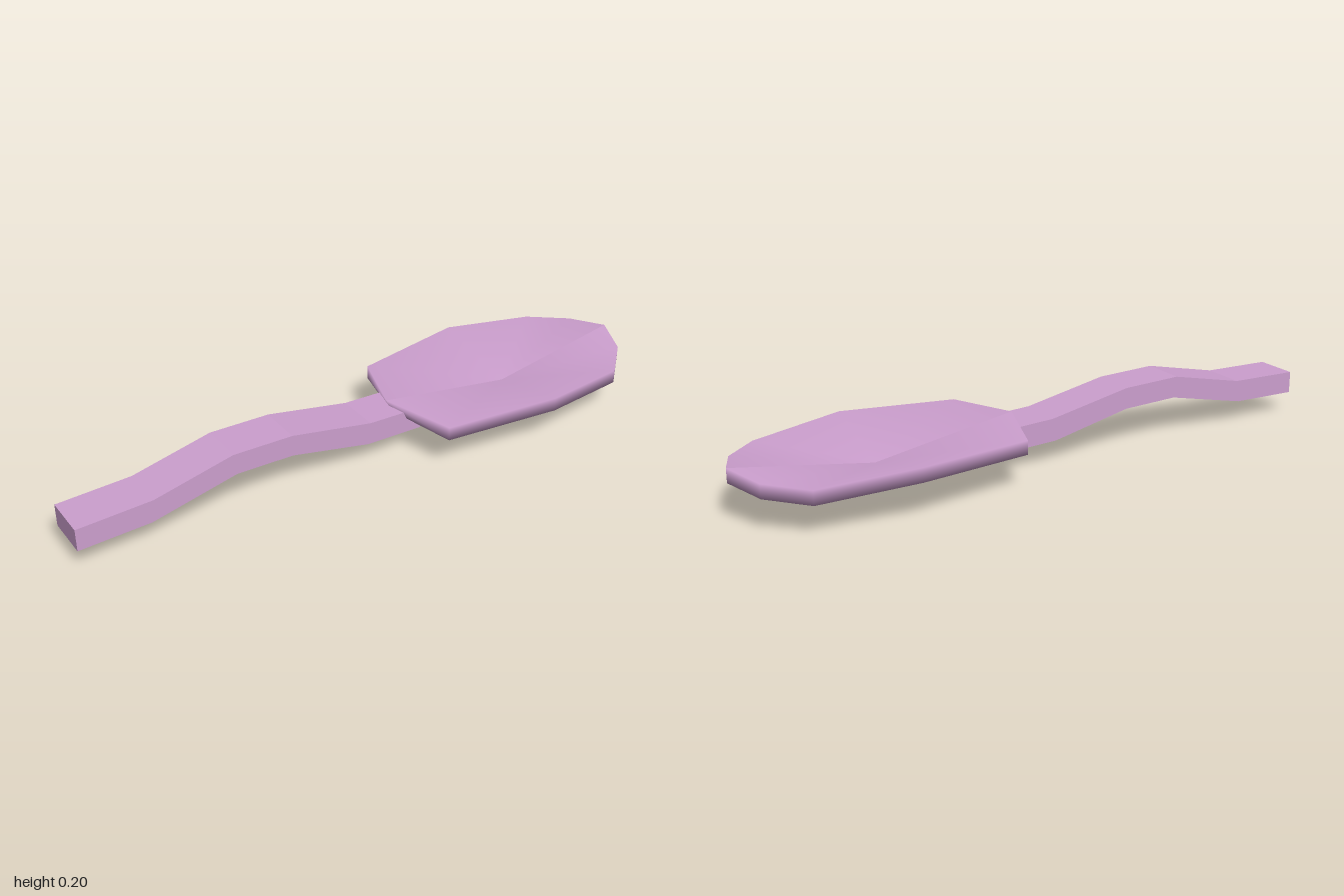
import * as THREE from 'three';

const mauve = new THREE.MeshStandardMaterial({ color: 0xcc9fce });
mauve.name = 'mauve';

// Rim outline of one half of the bowl, from handle end to tip: x, top y, z
const RIM = [
  [0.08, 0.165, 0], [0.16, 0.155, 0.228], [0.535, 0.165, 0.285],
  [0.84, 0.143, 0.23], [0.95, 0.15, 0.125], [1, 0.165, 0],
];
const LIP = 0.045;

// One half of the bowl: inner hollow, lip wall and underside, smooth within the half
function bowlHalf(side) {
  const n = RIM.length;
  const pos = [];
  RIM.forEach(([x, y, z]) => pos.push(x, y, z * side));
  RIM.forEach(([x, y, z], i) => pos.push(i === 0 ? 0.1 : x, y - LIP, z * side));
  pos.push(0.55, 0.09, 0, 0.54, 0, 0);
  const hollow = 2 * n, keel = 2 * n + 1;

  const index = [];
  const tri = (a, b, c) => (side > 0 ? index.push(a, b, c) : index.push(a, c, b));
  for (let i = 0; i < n - 1; i++) {
    tri(hollow, i, i + 1);
    tri(i, n + i, n + i + 1);
    tri(i, n + i + 1, i + 1);
    tri(n + i + 1, n + i, keel);
  }
  const geo = new THREE.BufferGeometry();
  geo.setAttribute('position', new THREE.Float32BufferAttribute(pos, 3));
  geo.setIndex(index);
  geo.computeVertexNormals();
  return geo;
}

export function createModel() {
  const group = new THREE.Group();
  group.name = 'spoon';

  // Wavy handle, a side profile extruded across its width
  const top = [[-1, 0.14], [-0.76, 0.147], [-0.5, 0.205], [-0.3, 0.2], [-0.02, 0.147], [0.17, 0.14]];
  const bottom = [[0.17, 0.067], [-0.03, 0.073], [-0.3, 0.13], [-0.49, 0.135], [-0.77, 0.073], [-1, 0.067]];
  const profile = new THREE.Shape([...top, ...bottom].map(([x, y]) => new THREE.Vector2(x, y)));
  const handleGeo = new THREE.ExtrudeGeometry(profile, { depth: 0.145, bevelEnabled: false });
  handleGeo.translate(0, 0, -0.084);
  const handle = new THREE.Mesh(handleGeo, mauve);
  handle.name = 'handle';
  group.add(handle);

  // Mirrored halves of the bowl
  const bowl = new THREE.Group();
  bowl.name = 'bowl';
  for (const side of [1, -1]) {
    const half = new THREE.Mesh(bowlHalf(side), mauve);
    half.name = side > 0 ? 'bowlFrontHalf' : 'bowlBackHalf';
    bowl.add(half);
  }
  group.add(bowl);
  return group;
}
